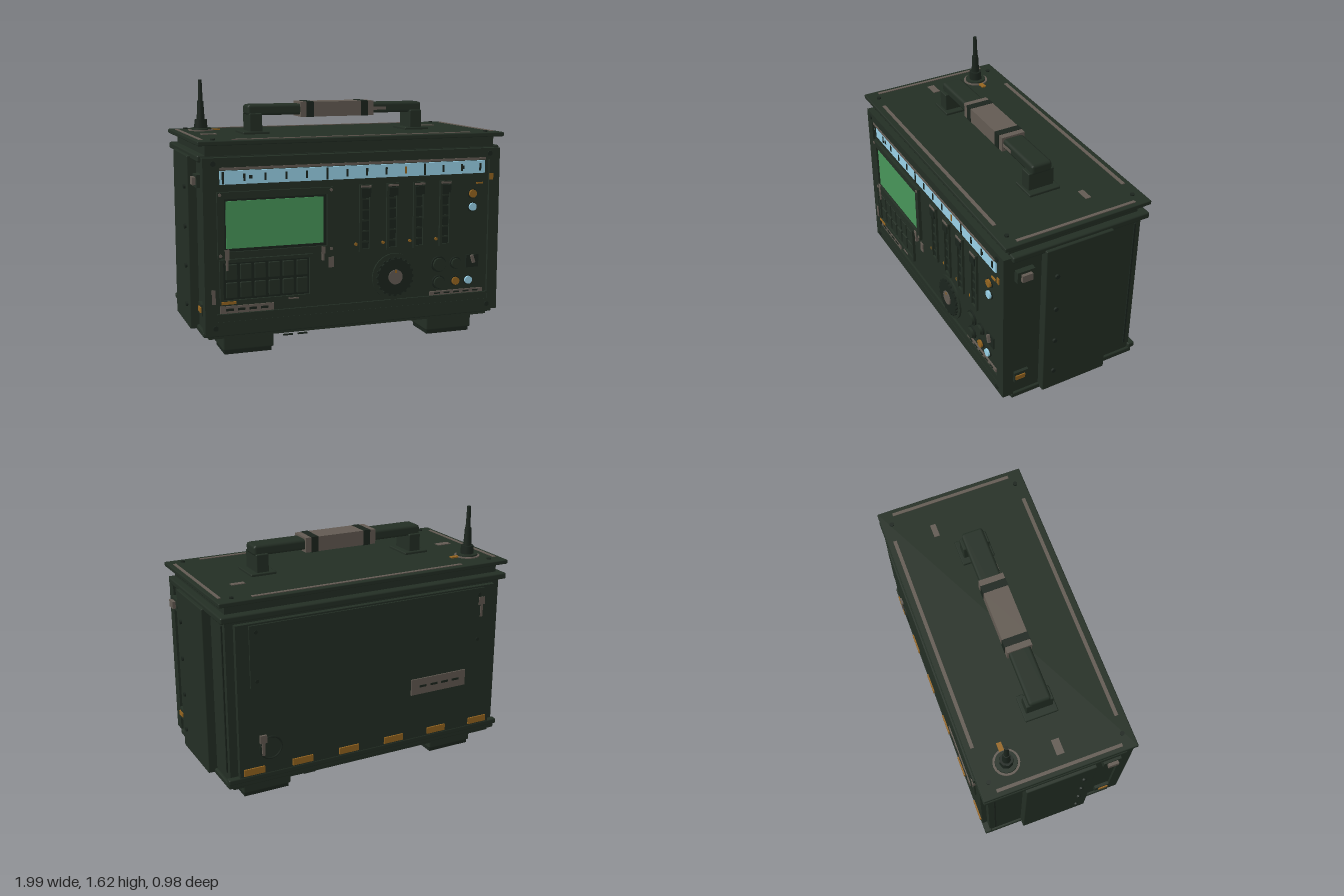
import * as THREE from 'three';
import { RoundedBoxGeometry } from 'three/addons/geometries/RoundedBoxGeometry.js';

const mat = (name, hex) => {
  const m = new THREE.MeshStandardMaterial({ color: hex });
  m.name = name;
  return m;
};

export function createModel() {
  const root = new THREE.Group();
  root.name = 'fieldRadio';
  const body = mat('dark green casing', 0x232e24);
  const dark = mat('blackened green', 0x1b241d);
  const taupe = mat('worn taupe metal', 0x625a52);
  const green = mat('screen green', 0x479559);
  const blue = mat('pale blue glass', 0x98d0e6);
  const amber = mat('amber brass', 0x94641f);

  const add = (name, geo, m, x = 0, y = 0, z = 0, parent = root) => {
    const mesh = new THREE.Mesh(geo, m);
    mesh.name = name;
    mesh.position.set(x, y, z);
    parent.add(mesh);
    return mesh;
  };
  // Box from its extents; r gives it a chamfered edge
  const box = (name, m, x0, x1, y0, y1, z0, z1, r = 0) => {
    const s = [x1 - x0, y1 - y0, z1 - z0];
    const geo = r ? new RoundedBoxGeometry(...s, 1, r) : new THREE.BoxGeometry(...s);
    return add(name, geo, m, (x0 + x1) / 2, (y0 + y1) / 2, (z0 + z1) / 2);
  };
  // Round part facing the front
  const disc = (name, m, x, y, r, z0, z1, sides = 24) => {
    const geo = new THREE.CylinderGeometry(r, r, z1 - z0, sides).rotateX(Math.PI / 2);
    return add(name, geo, m, x, y, (z0 + z1) / 2);
  };
  // Rectangular border with an open middle, facing the front
  const border = (name, m, x0, x1, y0, y1, w, z0, z1) => {
    const shape = new THREE.Shape([[x0, y0], [x1, y0], [x1, y1], [x0, y1]].map(p => new THREE.Vector2(...p)));
    shape.holes.push(new THREE.Path([[x0 + w, y0 + w], [x0 + w, y1 - w], [x1 - w, y1 - w], [x1 - w, y0 + w]].map(p => new THREE.Vector2(...p))));
    return add(name, new THREE.ExtrudeGeometry(shape, { depth: z1 - z0, bevelEnabled: false }), m, 0, 0, z0);
  };
  const sides = [-1, 1];

  // Casing, collars and lid
  box('casing', body, -0.93, 0.93, 0.15, 1.2, -0.44, 0.4);
  box('baseCollar', body, -0.945, 0.945, 0.13, 0.165, -0.455, 0.41, 0.008);
  box('baseTray', body, -0.91, 0.91, 0.112, 0.14, -0.435, 0.39);
  box('backRail', body, -0.95, 0.95, 0.165, 0.2, -0.475, -0.43, 0.008);
  box('topCollar', body, -0.965, 0.965, 1.17, 1.21, -0.475, 0.42, 0.01);
  box('lidStep', body, -0.92, 0.92, 1.205, 1.27, -0.42, 0.425);
  box('lid', body, -0.97, 0.97, 1.268, 1.295, -0.475, 0.473, 0.006);
  // Lid trim
  box('lidTrimBack', taupe, -0.65, 0.755, 1.29, 1.299, -0.44, -0.418);
  box('lidTrimFront', taupe, -0.76, 0.755, 1.29, 1.299, 0.41, 0.432);
  sides.forEach(s => {
    box('lidTrimSide', taupe, s * 0.932 - 0.01, s * 0.932 + 0.01, 1.29, 1.299, -0.385, 0.385);
    for (const z of [-0.41, 0.41]) add('lidScrew', new THREE.CylinderGeometry(0.014, 0.014, 0.012, 8), dark, s * 0.87, 1.298, z);
  });
  box('lidTag', taupe, -0.86, -0.765, 1.29, 1.299, 0.01, 0.057);
  box('lidTag', taupe, 0.695, 0.78, 1.29, 1.299, -0.19, -0.155);

  // Feet
  for (const sx of sides) for (const z of [0.242, -0.24]) {
    const x = sx * 0.662;
    box('foot', body, x - 0.158, x + 0.158, 0.024, 0.115, z - 0.123, z + 0.123, 0.012);
    box('footPad', dark, x - 0.146, x + 0.146, 0, 0.03, z - 0.108, z + 0.108);
  }
  box('standBlock', dark, 0.29, 0.372, 0.01, 0.055, -0.27, -0.2);
  box('standRod', dark, 0.385, 0.51, 0.065, 0.075, -0.24, -0.23);
  for (const x of [-0.43, -0.34]) box('underLip', dark, x - 0.03, x + 0.03, 0.103, 0.112, 0.41, 0.42);

  // Handle
  sides.forEach(s => {
    box('handleBase', body, s * 0.532 - 0.083, s * 0.532 + 0.083, 1.29, 1.31, -0.088, 0.117, 0.006);
    box('handlePost', body, s * 0.53 - 0.04, s * 0.53 + 0.04, 1.3, 1.42, -0.068, 0.1, 0.006);
    box('gripCuff', taupe, s * 0.222 - 0.02, s * 0.222 + 0.02, 1.392, 1.484, -0.062, 0.092);
    box('gripBand', dark, s * 0.18 - 0.024, s * 0.18 + 0.024, 1.39, 1.486, -0.064, 0.094);
  });
  box('handleBar', body, -0.577, 0.577, 1.406, 1.472, -0.052, 0.082, 0.018);
  box('grip', taupe, -0.158, 0.158, 1.392, 1.484, -0.062, 0.092);
  box('handleScuff', taupe, 0.24, 0.33, 1.425, 1.445, 0.078, 0.085);

  // Antenna
  const ax = -0.795, az = -0.275;
  const antenna = new THREE.Group();
  antenna.name = 'antenna';
  antenna.position.set(ax, 0, az);
  root.add(antenna);
  const post = (name, m, r0, r1, y0, y1, n = 12) =>
    add(name, new THREE.CylinderGeometry(r1, r0, y1 - y0, n), m, 0, (y0 + y1) / 2, 0, antenna);
  post('antennaRing', taupe, 0.08, 0.08, 1.29, 1.302, 20);
  post('antennaFlange', body, 0.068, 0.066, 1.29, 1.312, 20);
  post('antennaNut', dark, 0.043, 0.04, 1.31, 1.365, 8);
  post('antennaSleeve', dark, 0.026, 0.02, 1.36, 1.48);
  post('antennaMast', dark, 0.016, 0.012, 1.48, 1.6);
  post('antennaTip', dark, 0.012, 0.012, 1.6, 1.617);
  box('antennaTab', amber, -0.725, -0.672, 1.29, 1.303, -0.292, -0.262);

  // Side plates with bolts, ribs and latches
  sides.forEach(s => {
    const slab = (name, m, a, b, y0, y1, z0, z1, r) =>
      box(name, m, Math.min(s * a, s * b), Math.max(s * a, s * b), y0, y1, z0, z1, r);
    slab('sidePlate', body, 0.92, 0.985, 0.14, 1.19, -0.22, 0.22, 0.006);
    for (let i = 0; i < 4; i++)
      add('sideBolt', new THREE.CylinderGeometry(0.014, 0.014, 0.016, 10).rotateZ(Math.PI / 2), dark, s * 0.989, 0.28 + i * 0.24, 0.15);
    slab('latchFrame', body, 0.92, 0.965, 1.02, 1.095, 0.28, 0.392);
    slab('latch', taupe, 0.96, 0.985, 1.035, 1.08, 0.305, 0.37);
    slab('latchLower', body, 0.92, 0.95, 0.26, 0.33, 0.3, 0.395);
    slab('sideTab', amber, 0.948, 0.957, 0.28, 0.31, 0.325, 0.388);
    slab('sideRib', dark, 0.92, 0.938, 0.22, 1.14, -0.405, -0.395);
  });

  // Front frame and recessed panel
  border('frontFrame', body, -0.945, 0.945, 0.165, 1.198, 0.07, 0.4, 0.47);
  box('panel', body, -0.88, 0.88, 0.2, 1.14, 0.4, 0.455);
  box('frontSill', body, -0.88, 0.88, 0.225, 0.28, 0.44, 0.468);
  for (const x of [-0.885, 0.875]) for (const y of [0.2, 1.165]) disc('frameScrew', dark, x, y, 0.016, 0.46, 0.476, 10);
  box('frameTagRight', amber, 0.877, 0.9, 1.0, 1.04, 0.462, 0.475);
  box('frameTagLeft', taupe, -0.905, -0.883, 0.345, 0.43, 0.462, 0.475);

  // Tuning scale
  box('scaleTrim', taupe, -0.845, 0.845, 1.127, 1.142, 0.45, 0.474);
  box('scaleGlass', blue, -0.845, 0.845, 1.043, 1.122, 0.45, 0.466);
  for (let i = 0; i < 14; i++) {
    const x = -0.827 + i * 0.126, tall = i % 5 === 0;
    const h = tall ? 0.036 : 0.022;
    box('scaleTick', i === 9 ? amber : dark, x - 0.006, x + 0.006, 1.082 - h, 1.082 + h, 0.465, 0.47);
  }
  for (const x of [-0.664, 0.69]) box('scaleDot', dark, x - 0.01, x + 0.01, 1.072, 1.093, 0.465, 0.47);

  // Screen
  border('screenBezel', body, -0.865, -0.16, 0.61, 1.0, 0.04, 0.45, 0.475);
  box('screenBed', dark, -0.83, -0.19, 0.64, 0.97, 0.45, 0.46);
  box('screen', green, -0.813, -0.22, 0.668, 0.946, 0.458, 0.467);
  for (const x of [-0.85, -0.175]) for (const y of [0.63, 0.985]) disc('bezelScrew', taupe, x, y, 0.01, 0.47, 0.479, 8);
  for (const [x, y0, y1] of [[-0.812, 0.54, 0.665], [-0.225, 0.56, 0.645]]) {
    box('wornPatch', taupe, x - 0.013, x + 0.013, (y0 + y1) / 2, y1, 0.472, 0.479);
    box('wornStreak', taupe, x - 0.006, x + 0.006, y0, (y0 + y1) / 2, 0.45, 0.479);
  }
  box('panelTag', taupe, -0.187, -0.152, 0.512, 0.575, 0.45, 0.462);

  // Keypad
  border('keypadFrame', body, -0.855, -0.29, 0.342, 0.605, 0.02, 0.45, 0.473);
  box('keypadBed', dark, -0.84, -0.3, 0.355, 0.595, 0.45, 0.458);
  for (let i = 0; i < 6; i++) for (let j = 0; j < 2; j++) {
    const x = -0.785 + i * 0.086, y = 0.42 + j * 0.108;
    box('key', body, x - 0.034, x + 0.034, y - 0.047, y + 0.047, 0.455, 0.47, 0.005);
  }
  box('keypadTag', amber, -0.85, -0.762, 0.34, 0.357, 0.465, 0.478);
  box('keypadTrim', taupe, -0.445, -0.38, 0.342, 0.35, 0.465, 0.478);
  box('labelPlate', taupe, -0.855, -0.53, 0.283, 0.326, 0.45, 0.464);
  for (let i = 0; i < 4; i++) box('labelSlit', dark, -0.82 + i * 0.07, -0.775 + i * 0.07, 0.298, 0.312, 0.462, 0.467);

  // Sliders
  for (let i = 0; i < 4; i++) {
    const x = 0.048 + i * 0.177;
    border('sliderFrame', body, x - 0.04, x + 0.04, 0.595, 1.005, 0.016, 0.45, 0.47);
    box('sliderSlot', dark, x - 0.024, x + 0.024, 0.61, 0.99, 0.45, 0.457);
    for (let j = 0; j < 5; j++) box('sliderNotch', body, x - 0.022, x + 0.022, 0.65 + j * 0.065, 0.66 + j * 0.065, 0.455, 0.462);
    box('sliderCap', dark, x - 0.03, x + 0.03, 0.93, 0.98, 0.455, 0.478);
    box('sliderTrim', taupe, x - 0.033, x + 0.033, 0.988, 1.0, 0.465, 0.476);
    disc('sliderLamp', amber, x - 0.06, 0.642, 0.01, 0.45, 0.464, 8);
  }

  // Tuning dial with grip teeth
  disc('dialSkirt', body, 0.24, 0.425, 0.145, 0.45, 0.466, 32);
  disc('dial', dark, 0.24, 0.425, 0.112, 0.46, 0.48, 32);
  for (let i = 0; i < 20; i++) {
    const a = i * Math.PI / 10;
    disc('dialTooth', dark, 0.24 + 0.114 * Math.cos(a), 0.425 + 0.114 * Math.sin(a), 0.01, 0.46, 0.479, 6);
  }
  disc('dialHub', taupe, 0.24, 0.425, 0.046, 0.475, 0.487, 20);
  box('dialMark', amber, 0.234, 0.246, 0.452, 0.47, 0.48, 0.49);

  // Knobs, lamps and switch
  for (const [x, y, r] of [[0.54, 0.48, 0.05], [0.655, 0.48, 0.038], [0.54, 0.365, 0.043]]) {
    disc('knobSkirt', dark, x, y, r, 0.45, 0.466, 20);
    disc('knob', body, x, y, r * 0.82, 0.46, 0.482, 20);
  }
  for (const [x, y, m] of [[0.655, 0.365, amber], [0.744, 0.365, blue], [0.765, 0.915, amber], [0.765, 0.832, blue]]) {
    disc('lampCollar', dark, x, y, 0.032, 0.45, 0.461, 16);
    disc('lamp', m, x, y, 0.025, 0.455, 0.474, 14);
  }
  box('switchPlate', dark, 0.73, 0.815, 0.445, 0.525, 0.45, 0.463);
  box('switchLever', taupe, 0.761, 0.779, 0.475, 0.525, 0.46, 0.48).rotation.z = 0.3;
  box('lampTag', amber, 0.79, 0.835, 0.975, 0.985, 0.45, 0.464);
  box('socketStrip', taupe, 0.48, 0.845, 0.283, 0.308, 0.45, 0.464);
  for (let i = 0; i < 5; i++) box('socketSlit', dark, 0.51 + i * 0.066, 0.55 + i * 0.066, 0.291, 0.3, 0.462, 0.467);

  // Back panel, cover, hinge tabs and label
  box('backPanel', body, -0.88, 0.88, 0.19, 1.15, -0.472, -0.43);
  box('backCover', body, -0.8, 0.8, 0.76, 1.14, -0.482, -0.46);
  for (const x of [-0.76, 0.76]) for (const y of [0.8, 1.1]) disc('coverScrew', dark, x, y, 0.012, -0.486, -0.47, 8);
  for (let i = 0; i < 6; i++) {
    const x = 0.79 - i * 0.316;
    box('hingeTab', amber, x - 0.067, x + 0.067, 0.208, 0.25, -0.481, -0.465);
  }
  box('backLabel', taupe, -0.68, -0.28, 0.5, 0.605, -0.48, -0.465);
  for (let i = 0; i < 4; i++) box('backLabelSlit', dark, -0.63 + i * 0.08, -0.58 + i * 0.08, 0.546, 0.56, -0.483, -0.475);
  add('cablePort', new THREE.TorusGeometry(0.07, 0.006, 6, 24), dark, 0.68, 0.36, -0.474);
  for (const [x, y] of [[0.73, 0.4], [-0.78, 1.03]]) {
    box('backWornPatch', taupe, x - 0.022, x + 0.022, y, y + 0.05, -0.486, -0.465);
    box('backWornStreak', taupe, x - 0.009, x + 0.009, y - 0.08, y, -0.486, -0.465);
  }
  return root;
}
